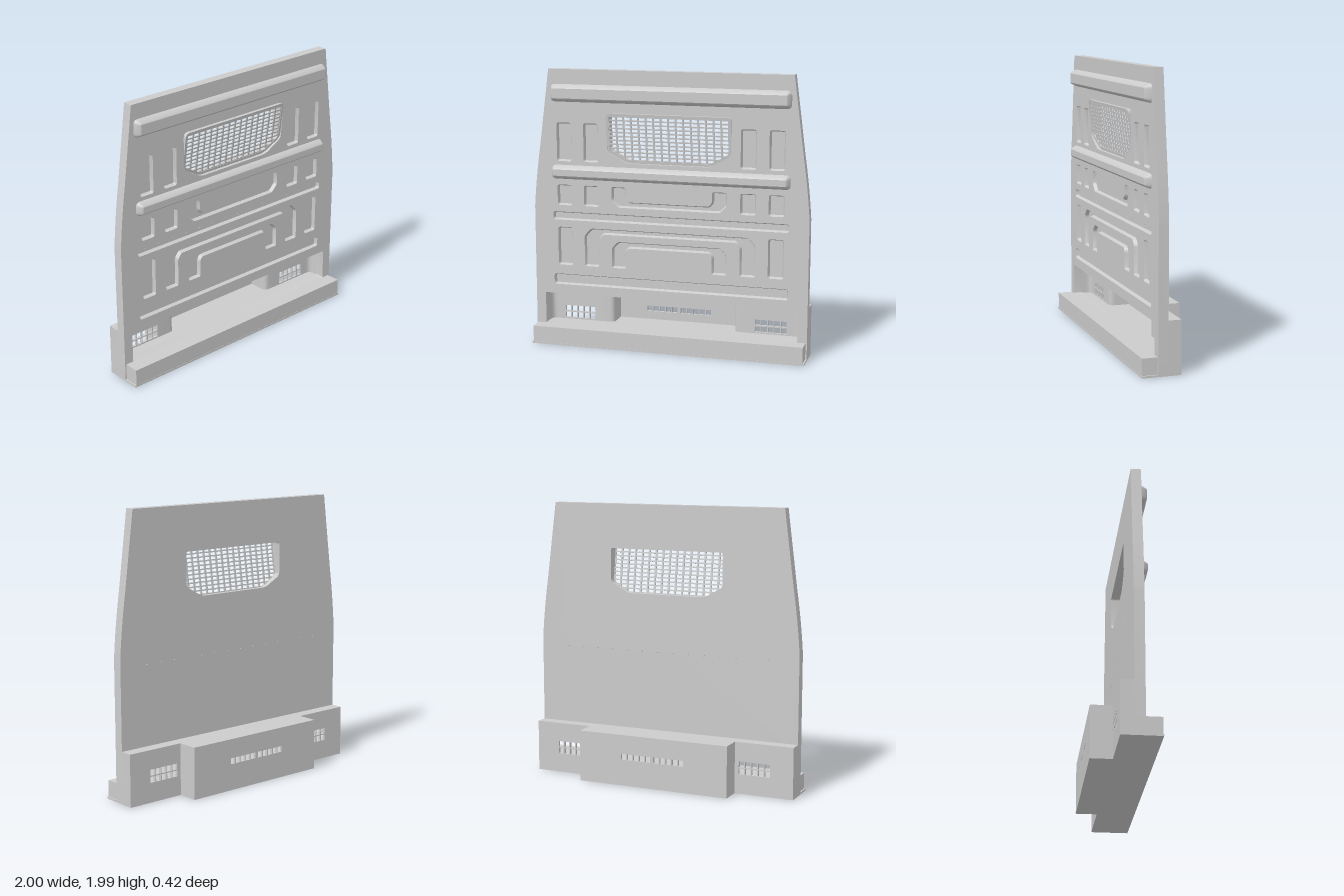
import * as THREE from 'three';
import { toCreasedNormals } from 'three/addons/utils/BufferGeometryUtils.js';

const FRONT = 0.1, BACK = 0.03, FLOOR = 0.075;
const material = new THREE.MeshStandardMaterial({ color: 0xcccccc });
const V = (x, y) => new THREE.Vector2(x, y);

function add(parent, name, geometry) {
  const mesh = new THREE.Mesh(geometry, material);
  mesh.name = name;
  parent.add(mesh);
  return mesh;
}

function box(parent, name, x0, x1, y0, y1, z0, z1) {
  const mesh = add(parent, name, new THREE.BoxGeometry(x1 - x0, y1 - y0, z1 - z0));
  mesh.position.set((x0 + x1) / 2, (y0 + y1) / 2, (z0 + z1) / 2);
  return mesh;
}

// Counter-clockwise outline with rounded corners
function rounded(corners, r) {
  const pts = corners.map(([x, y]) => V(x, y)), out = [];
  if (THREE.ShapeUtils.isClockWise(pts)) pts.reverse();
  pts.forEach((p, i) => {
    const a = pts.at(i - 1), b = pts[(i + 1) % pts.length];
    const from = p.clone().add(a.clone().sub(p).setLength(r));
    const to = p.clone().add(b.clone().sub(p).setLength(r));
    out.push(...new THREE.QuadraticBezierCurve(from, p, to).getPoints(5));
  });
  return out;
}
const rect = (x0, x1, y0, y1) => [[x0, y0], [x1, y0], [x1, y1], [x0, y1]];
// Right half of a symmetric outline, completed by its mirror
const symmetric = half => [...half, ...half.map(([x, y]) => [-x, y]).reverse()];

function inset(pts, d) {
  return pts.map((p, i) => {
    const e = p.clone().sub(pts.at(i - 1)).normalize();
    const f = pts[(i + 1) % pts.length].clone().sub(p).normalize();
    const n = V(-e.y - f.y, e.x + f.x).normalize();
    return p.clone().addScaledVector(n, d / Math.max(0.5, n.dot(V(-e.y, e.x))));
  });
}

// Walls through successive [inset, z] rings, closed by an optional cap with holes
function relief(outline, steps, cap = true, holes = []) {
  const pos = [];
  const rings = steps.map(([d, z]) => inset(outline, d).map(p =>
    [p.x, p.y, typeof z === 'function' ? z(p.y) : z]));
  for (let k = 0; k + 1 < rings.length; k++) {
    const a = rings[k], b = rings[k + 1];
    for (let i = 0; i < a.length; i++) {
      const j = (i + 1) % a.length;
      pos.push(...a[i], ...a[j], ...b[j], ...a[i], ...b[j], ...b[i]);
    }
  }
  if (cap) {
    const shape = new THREE.Shape(rings.at(-1).map(([x, y]) => V(x, y)));
    shape.holes = holes.map(h => new THREE.Path(h));
    const face = new THREE.ShapeGeometry(shape).toNonIndexed();
    face.translate(0, 0, steps.at(-1)[1]);
    for (const n of face.attributes.position.array) pos.push(n);
  }
  const g = new THREE.BufferGeometry();
  g.setAttribute('position', new THREE.Float32BufferAttribute(pos, 3));
  return toCreasedNormals(g, 0.5);
}

// Solid with an (x, z) footprint, raised from y0 to y1
function column(parent, name, pts, y0, y1) {
  const shape = new THREE.Shape(pts.map(p => V(p.x, -p.y)));
  const g = new THREE.ExtrudeGeometry(shape, { depth: y1 - y0, bevelEnabled: false });
  g.rotateX(-Math.PI / 2).translate(0, y0, 0);
  add(parent, name, toCreasedNormals(g, 0.5));
}

// Upright plate pierced by rows of small rectangular vents
function ventPlate(parent, name, x0, x1, z, starts, rows) {
  const shape = new THREE.Shape(rect(x0, x1, 0.13, 0.36).map(p => V(...p)));
  for (const s of starts) for (const y of rows) for (let c = 0; c < 5; c++) {
    const x = s + c * 0.0475;
    shape.holes.push(new THREE.Path(rect(x, x + 0.04, y, y + 0.042).map(p => V(...p))));
  }
  const g = new THREE.ExtrudeGeometry(shape, { depth: 0.02, bevelEnabled: false });
  add(parent, name, g.translate(0, 0, z));
}

export function createModel() {
  const model = new THREE.Group();
  model.name = 'partitionWall';

  // Panel outline, with curved flanks
  const flank = new THREE.QuadraticBezierCurve(V(1, 1), V(0.985, 1.22), V(0.95, 1.45)).getPoints(10);
  const right = [V(1, 0), ...flank, V(0.88, 1.99)];
  const outline = [...right, ...right.map(p => V(-p.x, p.y)).reverse()];

  // Sunken pockets
  const pockets = [];
  for (const s of [1, -1]) {
    for (const [y0, y1] of [[1.335, 1.612], [1.015, 1.165], [0.575, 0.855]]) {
      for (const [x0, x1] of [[0.715, 0.825], [0.515, 0.625]]) {
        if (y0 < 1 && x0 < 0.7) continue;
        pockets.push(rounded(rect(x0, x1, y0, y1).map(([x, y]) => [s * x, y]), 0.018));
      }
    }
  }
  pockets.push(
    rounded(symmetric([[0.29, 1.06], [0.315, 1.09], [0.315, 1.165], [0.42, 1.165], [0.42, 1.07], [0.37, 1.018]]), 0.014),
    rounded(symmetric([[0.485, 0.815], [0.515, 0.775], [0.515, 0.575], [0.625, 0.575], [0.625, 0.8], [0.575, 0.855]]), 0.014),
    rounded(symmetric([[0.295, 0.725], [0.315, 0.7], [0.315, 0.575], [0.42, 0.575], [0.42, 0.72], [0.375, 0.768]]), 0.014),
    rounded(rect(-0.86, 0.86, 0.428, 0.507), 0.02));
  const drilledGroove = rounded(rect(-0.86, 0.86, 0.907, 0.967), 0.02);
  const drillHoles = Array.from({ length: 14 }, (_, i) =>
    new THREE.Path().absarc(-0.78 + i * 0.12, 0.937, 0.007, 0, Math.PI * 2).getPoints(8).slice(0, 8));

  const windowOutline = rounded(symmetric([[0.3, 1.337], [0.45, 1.42], [0.45, 1.69]]), 0.035);
  const recess = rounded(rect(-0.93, 0.93, 0.13, 0.36), 0.008);

  // Panel: rim and front face, then back face
  add(model, 'panelFront', relief(outline, [[0, BACK], [0, FRONT]], true,
    [...pockets, drilledGroove, windowOutline, recess]));
  const backShape = new THREE.Shape(outline);
  backShape.holes = [inset(windowOutline, 0.018), recess, ...drillHoles].map(h => new THREE.Path(h));
  const backFace = new THREE.ShapeGeometry(backShape);
  backFace.setIndex([...backFace.index.array].reverse());
  backFace.computeVertexNormals();
  add(model, 'panelBack', backFace.translate(0, 0, BACK));

  const sunk = [[0, FRONT], [0.01, FLOOR]];
  pockets.forEach(p => add(model, 'pocket', relief(p, sunk)));
  add(model, 'drilledGroove', relief(drilledGroove, sunk, true, drillHoles));
  drillHoles.forEach(h => add(model, 'drillHole', relief(h, [[0, FLOOR], [0, BACK]], false)));

  // Raised ribs
  for (const [y0, y1] of [[1.76, 1.885], [1.207, 1.308]]) {
    const rib = rounded(rect(-0.865, 0.865, y0, y1), 0.035);
    add(model, 'rib', relief(rib, [[0, FRONT], [0.004, 0.112], [0.02, 0.14], [0.028, 0.145]]));
  }

  // Window frame and mesh, leaning forward at the top
  const lean = 0.14, tilt = y => FRONT + (y - 1.51) * lean;
  add(model, 'windowFrame', relief(windowOutline,
    [[0, FRONT], [0, tilt], [0.018, tilt], [0.018, BACK]], false));
  const grille = new THREE.Group();
  grille.name = 'windowGrille';
  grille.position.set(0, 1.51, FRONT - 0.009);
  grille.rotation.x = Math.atan(lean);
  model.add(grille);
  for (let i = -8; i <= 8; i++) {
    const x = i * 0.054;
    const bottom = 1.347 + Math.max(0, Math.abs(x) - 0.3) * 0.55;
    box(grille, 'grilleUpright', x - 0.006, x + 0.006, bottom - 1.51, 0.172, -0.005, 0.005);
  }
  for (let i = 0; i <= 11; i++) {
    const y = 1.355 + i * 0.0288;
    const w = Math.min(0.44, 0.29 + (y - 1.337) * 1.8);
    box(grille, 'grilleCrossbar', -w, w, y - 1.515, y - 1.505, -0.005, 0.005);
  }

  // Recess behind the panel and its stepped rear housing
  add(model, 'recessOpening', relief(recess, [[0, FRONT], [0, BACK]], false));
  const footprint = symmetric([[0.57, -0.21], [0.57, -0.06], [1, -0.06], [1, BACK]]).map(p => V(...p));
  column(model, 'housingFloor', footprint, 0, 0.13);
  column(model, 'housingLid', footprint, 0.358, 0.37);
  ventPlate(model, 'centreVents', -0.45, 0.45, -0.21, [-0.243, 0.012], [0.19]);
  const endWall = [V(0.89, -0.06), V(1, -0.06), V(1, BACK), V(0.93, BACK),
    ...new THREE.QuadraticBezierCurve(V(0.93, 0), V(0.93, -0.04), V(0.89, -0.04)).getPoints(8)];
  const shoulder = [V(0.45, -0.21), V(0.57, -0.21), V(0.57, -0.04),
    ...new THREE.QuadraticBezierCurve(V(0.49, -0.04), V(0.45, -0.04), V(0.45, -0.085)).getPoints(8)];
  for (const s of [1, -1]) {
    const flip = pts => pts.map(p => V(s * p.x, p.y));
    column(model, 'housingEndWall', flip(endWall), 0.13, 0.358);
    column(model, 'housingShoulder', flip(shoulder), 0.13, 0.358);
    const [x0, x1] = s > 0 ? [0.57, 0.89] : [-0.89, -0.57];
    ventPlate(model, 'sideVents', x0, x1, -0.06, [s > 0 ? 0.6 : -0.83], [0.14, 0.19]);
  }

  // Front ledge on a thin base lip
  box(model, 'ledge', -0.99, 0.99, 0, 0.13, FRONT - 0.005, 0.208);
  box(model, 'ledgeLip', -1, 1, 0, 0.014, FRONT, 0.21);
  return model;
}
